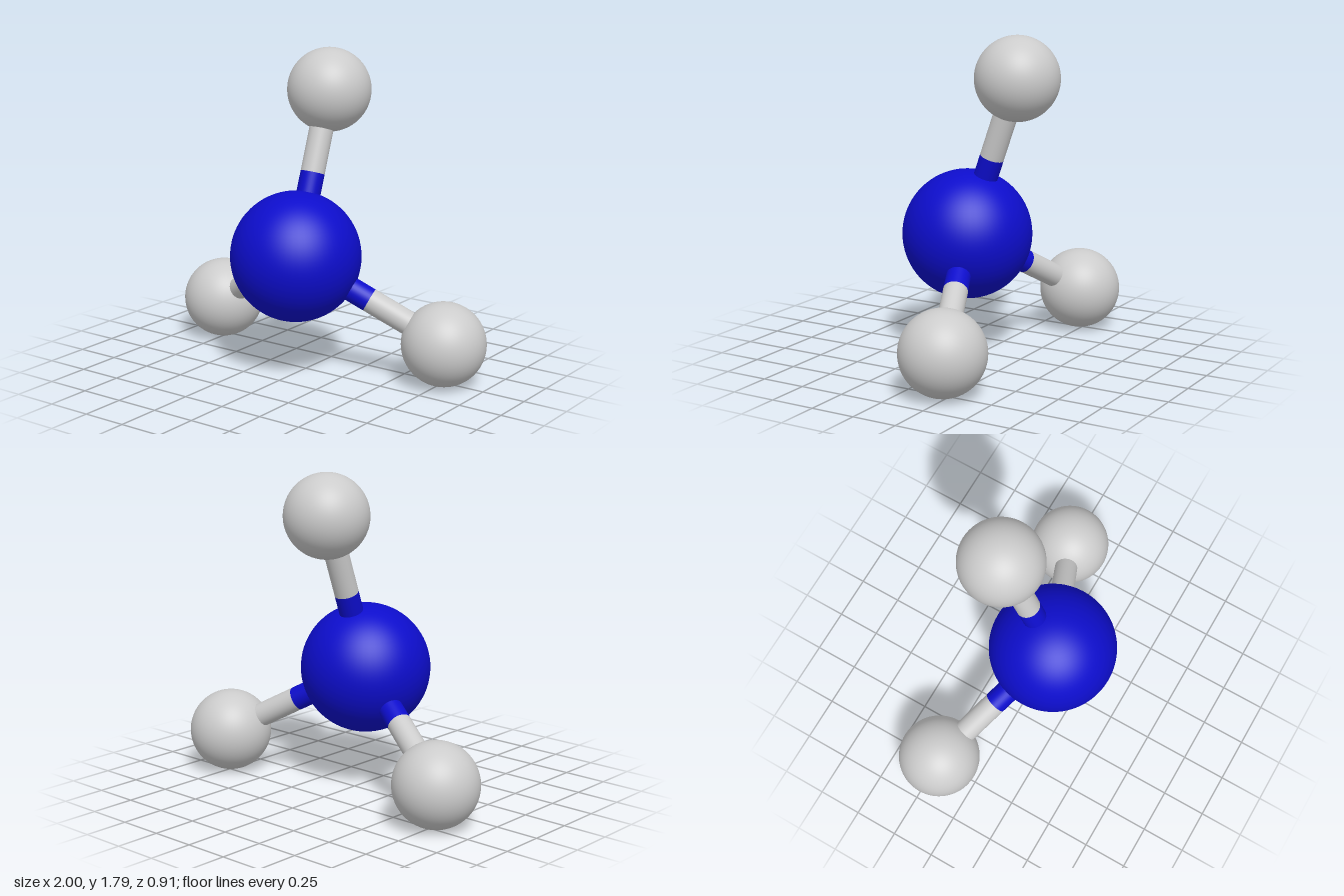
import * as THREE from 'three';

const CENTRE = new THREE.Vector3(0, 0.68, 0.093);
const BOND_RADIUS = 0.067;
const SPREAD = 0.884; // distance of outer atoms from the axis
const OUTER_Z = -0.221;

export function createModel() {
  const model = new THREE.Group();
  model.name = 'molecule';
  const blue = new THREE.MeshStandardMaterial({ color: 0x0d0dcc });
  const grey = new THREE.MeshStandardMaterial({ color: 0xcccccc });

  function addAtom(name, radius, position, material, parent) {
    const atom = new THREE.Mesh(new THREE.SphereGeometry(radius, 64, 40), material);
    atom.name = name;
    atom.position.copy(position);
    parent.add(atom);
  }

  // Cylinder running from one point to another
  function addRod(name, from, to, material, parent) {
    const along = to.clone().sub(from);
    const geometry = new THREE.CylinderGeometry(BOND_RADIUS, BOND_RADIUS, along.length(), 40);
    const rod = new THREE.Mesh(geometry, material);
    rod.name = name;
    rod.position.copy(from).lerp(to, 0.5);
    rod.quaternion.setFromUnitVectors(new THREE.Vector3(0, 1, 0), along.normalize());
    parent.add(rod);
  }

  // Large central atom
  addAtom('centralAtom', 0.361, CENTRE, blue, model);

  // Three arms, swept back and evenly spaced; each bond changes colour halfway
  ['top', 'right', 'left'].forEach((side, i) => {
    const arm = new THREE.Group();
    arm.name = side + 'Arm';
    const angle = Math.PI / 2 + (i * Math.PI * 2) / 3;
    const end = new THREE.Vector3(
      SPREAD * Math.cos(angle), CENTRE.y + SPREAD * Math.sin(angle), OUTER_Z);
    const middle = CENTRE.clone().lerp(end, 0.5);
    addRod('innerBond', CENTRE, middle, blue, arm);
    addRod('outerBond', middle, end, grey, arm);
    addAtom('outerAtom', 0.233, end, grey, arm);
    model.add(arm);
  });

  return model;
}
